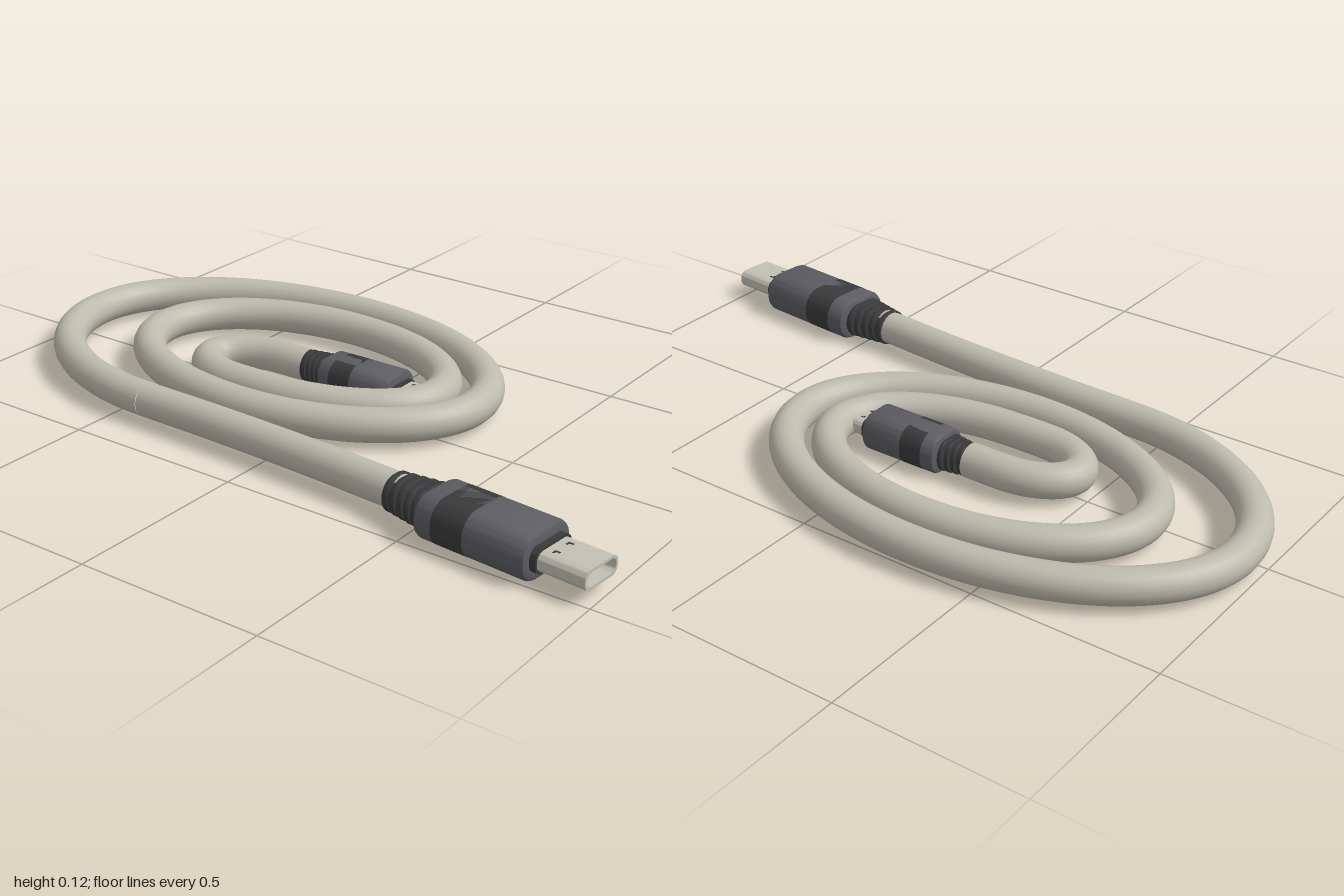
import * as THREE from 'three';
import { toCreasedNormals } from 'three/addons/utils/BufferGeometryUtils.js';

const mat = (name, color) => {
  const m = new THREE.MeshStandardMaterial({ color });
  m.name = name;
  return m;
};

// Rounded rectangle outline: w across the plug, h in height
function slot(w, h, r, Type = THREE.Shape) {
  const s = new Type(), x = w / 2, y = h / 2;
  s.moveTo(-x + r, -y);
  s.lineTo(x - r, -y);
  s.absarc(x - r, -y + r, r, -Math.PI / 2, 0);
  s.lineTo(x, y - r);
  s.absarc(x - r, y - r, r, 0, Math.PI / 2);
  s.lineTo(-x + r, y);
  s.absarc(-x + r, y - r, r, Math.PI / 2, Math.PI);
  s.lineTo(-x, -y + r);
  s.absarc(-x + r, -y + r, r, Math.PI, Math.PI * 1.5);
  return s;
}

// Extrude an outline along +x from x0 to x1, with an optional bevel
function extrudeX(shape, x0, x1, bevel = 0) {
  const g = new THREE.ExtrudeGeometry(shape, {
    depth: x1 - x0 - 2 * bevel, curveSegments: 10, bevelEnabled: bevel > 0,
    bevelThickness: bevel, bevelSize: bevel, bevelOffset: -bevel, bevelSegments: 2,
  });
  g.translate(0, 0, x0 + bevel);
  g.rotateY(Math.PI / 2);
  return toCreasedNormals(g, 0.6);
}

// Quarter ellipses joining successive extremes, starting at a top or bottom one
function quarterArcs(extremes, y) {
  const pts = [];
  for (let i = 0; i < extremes.length - 1; i++) {
    const [px, pz] = extremes[i], [qx, qz] = extremes[i + 1];
    for (let k = 0; k < 8; k++) {
      const t = (k / 8) * Math.PI / 2, c = Math.cos(t), s = Math.sin(t);
      pts.push(i % 2 === 0
        ? new THREE.Vector3(px + (qx - px) * s, y, qz + (pz - qz) * c)
        : new THREE.Vector3(qx + (px - qx) * c, y, pz + (qz - pz) * s));
    }
  }
  const [ex, ez] = extremes[extremes.length - 1];
  pts.push(new THREE.Vector3(ex, y, ez));
  return pts;
}

export function createModel() {
  const model = new THREE.Group();
  model.name = 'coiledCable';
  const cableMat = mat('cable grey', 0xbdbaad);
  const metalMat = mat('connector metal', 0xc2c0b4);
  const bodyMat = mat('plug grey', 0x5c5c62);
  const darkMat = mat('dark rubber', 0x3a3a3c);

  const add = (parent, name, geo, material) => {
    const m = new THREE.Mesh(geo, material);
    m.name = name;
    parent.add(m);
    return m;
  };

  // Cable: oval spiral, inner hook and straight tail
  const Y = 0.056, R = 0.046;
  const coil = [
    ...quarterArcs([
      [-0.4, 0.345], [-0.955, -0.07], [-0.3, -0.485], [0.31, -0.11],
      [-0.2, 0.222], [-0.71, -0.08], [-0.25, -0.37], [0.19, -0.115], [-0.21, 0.11],
    ], Y),
    ...quarterArcs([[-0.3, 0.11], [-0.457, 0.012], [-0.29, -0.085]], Y),
    new THREE.Vector3(-0.2, Y, -0.085),
  ];
  add(model, 'cableCoil',
    new THREE.TubeGeometry(new THREE.CatmullRomCurve3(coil), 360, R, 20), cableMat);
  const tail = [[-0.4, Y, 0.345], [-0.2, 0.057, 0.35], [0, 0.058, 0.359],
    [0.22, 0.059, 0.373], [0.45, 0.06, 0.393]].map(p => new THREE.Vector3(...p));
  add(model, 'cableTail',
    new THREE.TubeGeometry(new THREE.CatmullRomCurve3(tail), 40, R, 20), cableMat);

  // Plug pointing along +x, with its origin at the cable end
  function makePlug(name) {
    const plug = new THREE.Group();
    plug.name = name;

    // Strain relief: core with widening ribs
    add(plug, 'strainReliefCore', extrudeX(slot(0.098, 0.084, 0.04), 0, 0.14), darkMat);
    for (let i = 0; i < 5; i++) {
      const x = i * 0.025;
      add(plug, 'strainReliefRib',
        extrudeX(slot(0.106 + i * 0.009, 0.097, 0.047), x, x + 0.017, 0.004), darkMat);
    }

    // Housing with a dark grip band
    const W = 0.178, H = 0.118, C = 0.054;
    add(plug, 'housing', extrudeX(slot(W, H, C), 0.122, 0.433, 0.012), bodyMat);
    add(plug, 'gripBand', extrudeX(slot(W + 0.002, H, C), 0.175, 0.265), darkMat);
    add(plug, 'collar', extrudeX(slot(0.135, 0.064, 0.028), 0.425, 0.45), darkMat);

    // Hollow metal connector with a dark inside
    const shell = slot(0.124, 0.05, 0.022);
    shell.holes.push(slot(0.11, 0.036, 0.017, THREE.Path));
    add(plug, 'connectorShell', extrudeX(shell, 0.445, 0.575), metalMat);
    add(plug, 'connectorInside', extrudeX(slot(0.111, 0.037, 0.017), 0.45, 0.525), darkMat);

    // Small latch marks on both faces
    for (const y of [-1, 1]) for (const z of [-1, 1]) {
      const a = add(plug, 'latchMark', new THREE.BoxGeometry(0.014, 0.003, 0.005), darkMat);
      a.position.set(0.477, y * 0.0245, z * 0.025);
      const b = add(plug, 'latchMark', new THREE.BoxGeometry(0.005, 0.003, 0.012), darkMat);
      b.position.set(0.472, y * 0.0245, z * 0.025 + 0.004);
    }
    return plug;
  }

  const large = makePlug('largePlug');
  large.position.set(0.42, 0.059, 0.391);
  large.rotation.y = -0.09;
  model.add(large);

  const small = makePlug('smallPlug');
  small.position.set(-0.218, Y, -0.085);
  small.scale.set(0.735, 0.88, 0.735);
  model.add(small);

  return model;
}
